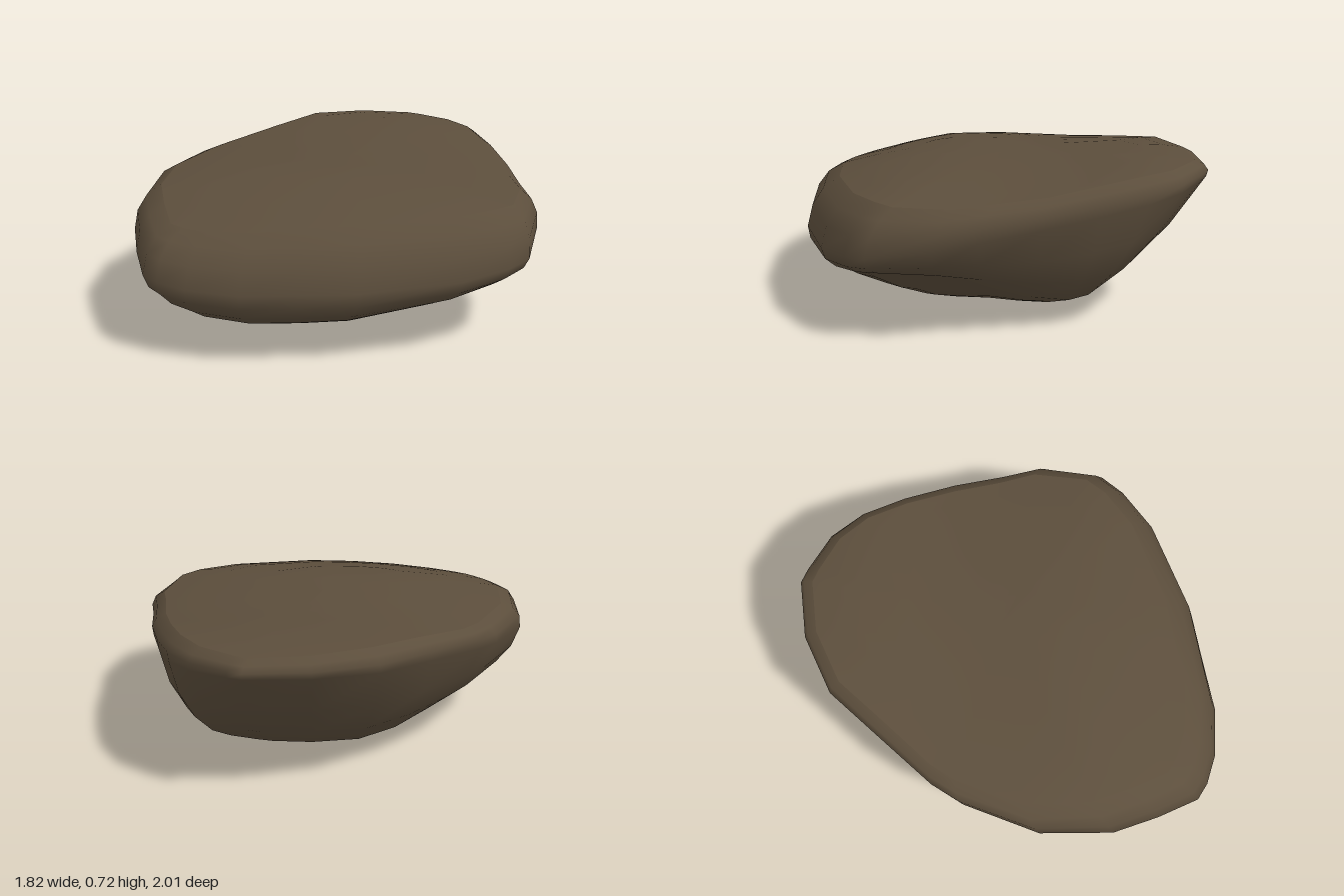
import * as THREE from 'three';

// Plan outline of the rock at its widest, [x, z], from the back round by the left side
const OUTLINE = [
  [0.10, -1], [0.17, -0.98], [0.36, -0.9], [0.5, -0.77], [0.62, -0.58], [0.74, -0.34],
  [0.83, -0.1], [0.91, 0.08], [0.91, 0.37], [0.84, 0.48], [0.67, 0.64], [0.27, 0.85],
  [0.03, 0.92], [-0.2, 0.99], [-0.43, 1.0], [-0.57, 0.97], [-0.65, 0.93], [-0.76, 0.75],
  [-0.86, 0.55], [-0.91, 0.22], [-0.83, -0.13], [-0.77, -0.26], [-0.59, -0.52],
  [-0.42, -0.77], [-0.17, -0.93],
];

// Shoulder at the foot of the walls, [x, y, z], in the same order
const SHOULDER = [
  [0.12, 0.11, -0.51], [0.2, 0.11, -0.51], [0.32, 0.12, -0.52], [0.41, 0.13, -0.51],
  [0.47, 0.12, -0.43], [0.52, 0.14, -0.28], [0.6, 0.2, -0.08], [0.72, 0.27, 0.08],
  [0.76, 0.29, 0.32], [0.7, 0.265, 0.42], [0.55, 0.225, 0.55], [0.2, 0.18, 0.75],
  [0, 0.175, 0.82], [-0.2, 0.175, 0.88], [-0.4, 0.185, 0.88], [-0.5, 0.2, 0.85],
  [-0.56, 0.215, 0.8], [-0.66, 0.22, 0.65], [-0.72, 0.235, 0.48], [-0.72, 0.23, 0.2],
  [-0.6, 0.2, -0.05], [-0.53, 0.18, -0.15], [-0.4, 0.13, -0.28], [-0.25, 0.1, -0.38],
  [-0.05, 0.1, -0.46],
];

// Height of the worn top
const topHeight = (x, z) =>
  0.685 + 0.035 * Math.exp(-(((z + 0.72) / 0.25) ** 2))
  - 0.3 * Math.max(0, z - 0.3) ** 1.3 - 0.11 * x * x - 0.02 * x;

// Guiding loops: base crease (drawn in at the back), shoulder, widest edge and top rim
const baseCrease = SHOULDER.map(([x, y, z]) => {
  const s = 0.95 + 0.5 * Math.min(0, z);
  return new THREE.Vector3(x * s, y * s ** 2.2, z * s);
});
const shoulder = SHOULDER.map((p) => new THREE.Vector3(...p));
const widest = OUTLINE.map(([x, z]) => new THREE.Vector3(x, 0.48 - 0.15 * z - 0.04 * x, z));
const rim = OUTLINE.map(([x, z]) => {
  const rx = x * 0.9, rz = z * 0.885 - 0.06;
  return new THREE.Vector3(rx, topHeight(rx, rz), rz);
});

// Loop between two others, swollen outwards, and up most at the front or down most at the back
function between(a, b, t, out, lift) {
  const swell = Math.sin(Math.PI * t);
  return a.map((p, i) => {
    const v = p.clone().lerp(b[i], t);
    const d = new THREE.Vector3(v.x, 0, v.z).normalize();
    v.addScaledVector(d, out * swell);
    v.y += lift * (0.6 + 0.4 * OUTLINE[i][1] * Math.sign(lift)) * swell;
    return v;
  });
}

// Base crease shrunk into a shallow bowl, and rim shrunk over the top
const bowl = (s) => baseCrease.map((p) => new THREE.Vector3(p.x * s, p.y * s * s, p.z * s));
const dome = (s) => rim.map((p) => {
  const x = p.x * s, z = -0.05 + (p.z + 0.05) * s;
  return new THREE.Vector3(x, topHeight(x, z), z);
});

// Smooth skin over loops listed from bottom to top
function skin(loops) {
  const n = OUTLINE.length, index = [];
  for (let r = 0; r < loops.length - 1; r++) {
    for (let i = 0; i < n; i++) {
      const j = (i + 1) % n;
      const a = r * n + i, b = r * n + j, c = a + n, d = b + n;
      index.push(a, c, b, b, c, d);
    }
  }
  const geometry = new THREE.BufferGeometry().setFromPoints(loops.flat());
  geometry.setIndex(index);
  geometry.computeVertexNormals();
  return geometry;
}

export function createModel() {
  const stone = new THREE.MeshStandardMaterial({ color: 0x5c4e3c });
  stone.name = 'brown stone';
  const rock = new THREE.Group();
  rock.name = 'rock';
  const add = (name, loops) => {
    const mesh = new THREE.Mesh(skin(loops), stone);
    mesh.name = name;
    rock.add(mesh);
  };

  // Underside, from its lowest point out to the base crease
  add('underside', [0, 0.2, 0.4, 0.6, 0.8, 1].map(bowl));

  // Sloping walls that round over into the rim
  add('sides', [
    baseCrease,
    shoulder,
    between(shoulder, widest, 0.3, 0.035, -0.03),
    between(shoulder, widest, 0.65, 0.035, -0.03),
    widest,
    between(widest, rim, 0.33, 0.03, 0.03),
    between(widest, rim, 0.67, 0.03, 0.03),
    rim,
  ]);

  // Broad, gently domed top
  add('top', [1, 0.9, 0.75, 0.5, 0.25, 0].map(dome));

  return rock;
}
